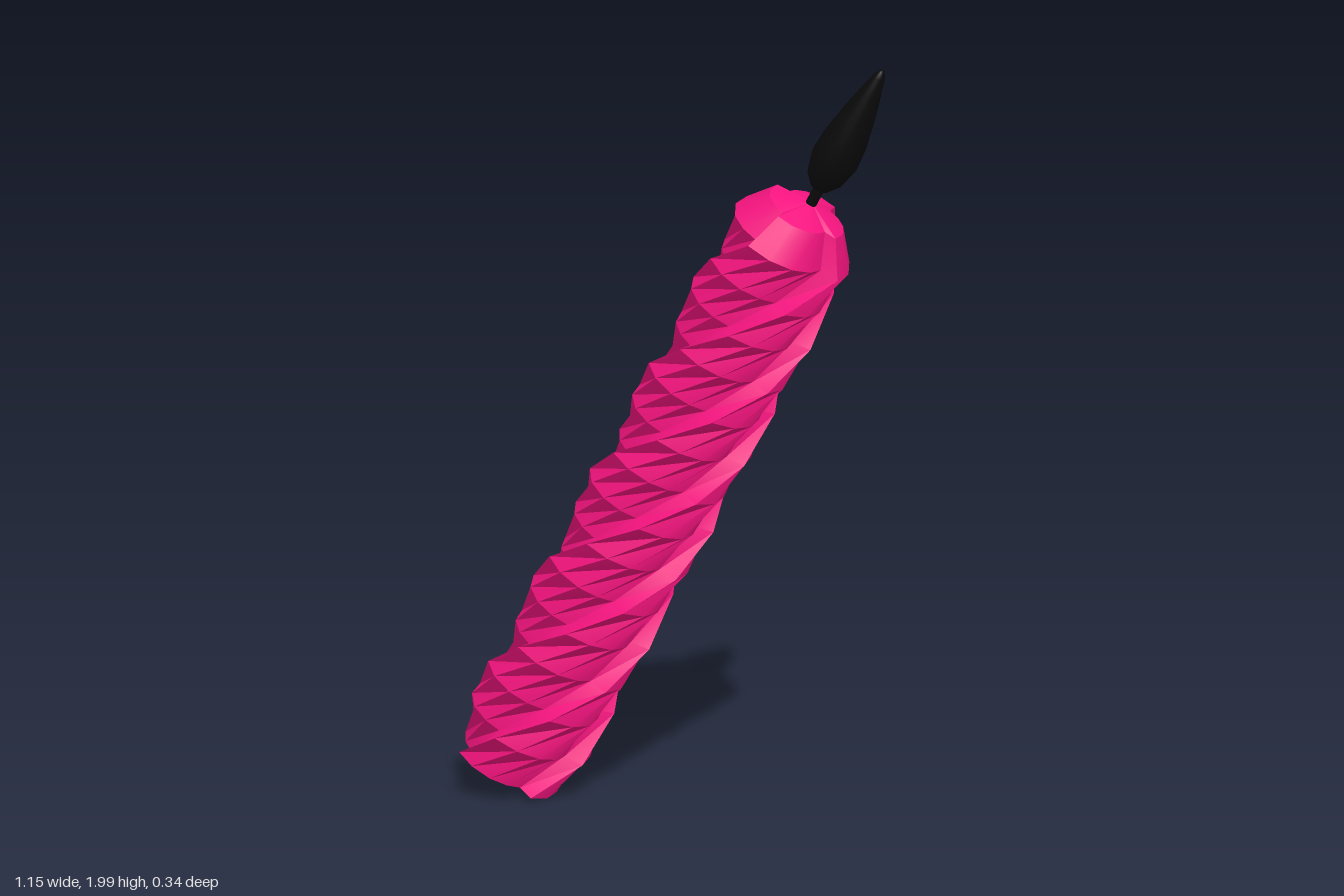
import * as THREE from 'three';
import { toCreasedNormals } from 'three/addons/utils/BufferGeometryUtils.js';

const DEG = Math.PI / 180;
const STRANDS = 4;
const BODY_TOP = 1.65;
const TWIST = 288; // degrees per unit of height

// One strand of the sawtooth section: [degrees past the ridge, radius]
const STRAND = [[0, 0.172], [22, 0.166], [44, 0.156], [64, 0.142], [82, 0.127]];

// Lofts rings of the section: each is [height, scale]; the twist stops at the shoulder
function twistedBody(rings) {
  const section = [];
  for (let s = 0; s < STRANDS; s++) {
    for (const [a, r] of STRAND) section.push([a + s * 360 / STRANDS, r]);
  }
  const n = section.length;
  const positions = [], index = [];
  for (const [h, scale] of rings) {
    const turn = -15 + (Math.min(h, BODY_TOP) - BODY_TOP) * TWIST;
    for (const [a, r] of section) {
      const t = (a + turn) * DEG;
      positions.push(Math.sin(t) * r * scale, h, Math.cos(t) * r * scale);
    }
  }
  for (let i = 0; i < rings.length - 1; i++) {
    for (let j = 0; j < n; j++) {
      const a = i * n + j, b = i * n + (j + 1) % n;
      if (rings[i][1] > 0) index.push(a, b, b + n);
      if (rings[i + 1][1] > 0) index.push(a, b + n, a + n);
      else if (rings[i][1] === 0) continue;
    }
  }
  const g = new THREE.BufferGeometry();
  g.setAttribute('position', new THREE.Float32BufferAttribute(positions, 3));
  g.setIndex(index);
  return toCreasedNormals(g, 28 * DEG);
}

export function createModel() {
  const model = new THREE.Group();
  model.name = 'candle';
  const wax = new THREE.MeshStandardMaterial({ color: 0xf5147f });
  const black = new THREE.MeshStandardMaterial({ color: 0x0a0a0a });

  // Everything stands on one leaning axis
  const leaning = new THREE.Group();
  leaning.name = 'leaningCandle';
  leaning.position.set(-0.457, 0.07, 0);
  leaning.rotation.z = -28 * DEG;
  model.add(leaning);

  const add = (name, geometry, material) => {
    const mesh = new THREE.Mesh(geometry, material);
    mesh.name = name;
    leaning.add(mesh);
    return mesh;
  };

  // Twisted wax: flat foot, slightly narrowed base, four strands, domed top
  const rings = [[0, 0], [0, 0.88]];
  const steps = 14;
  for (let i = 1; i <= steps; i++) rings.push([BODY_TOP * i / steps, 1]);
  rings.push([1.735, 0.64], [1.765, 0]);
  add('twistedWax', twistedBody(rings), wax);

  // Wick
  const wick = add('wick', new THREE.CylinderGeometry(0.014, 0.014, 0.1, 10), black);
  wick.position.y = 1.79;

  // Flame: teardrop, a little flatter from front to side
  const outline = [[0, 1.81], [0.03, 1.815], [0.055, 1.845], [0.07, 1.9], [0.066, 1.96],
    [0.05, 2.04], [0.032, 2.11], [0.018, 2.16], [0.008, 2.178], [0, 2.181]];
  const flame = add('flame', new THREE.LatheGeometry(
    outline.map(([r, y]) => new THREE.Vector2(r, y)), 24), black);
  flame.scale.x = 0.85;

  return model;
}
